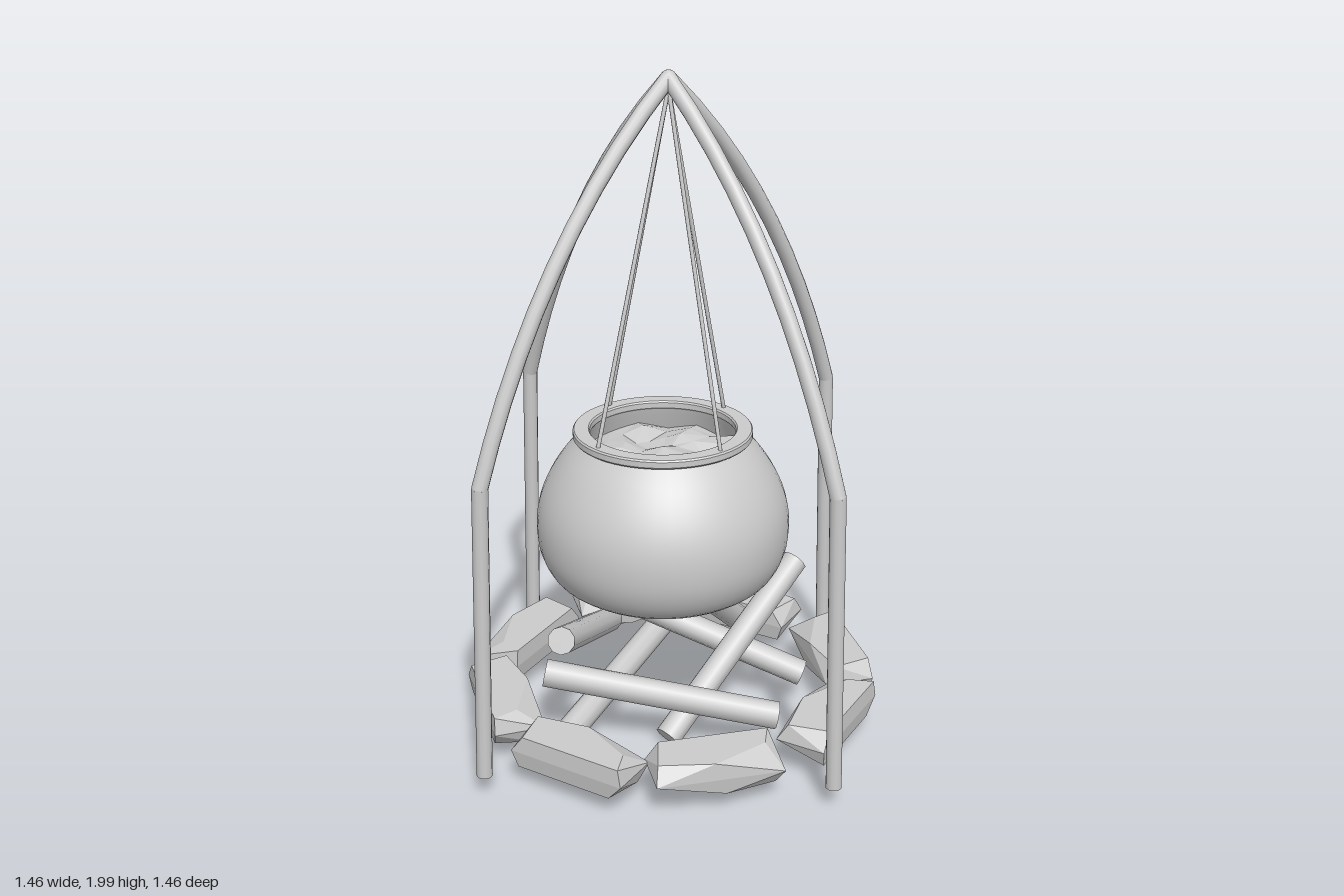
import * as THREE from 'three';
import { ConvexGeometry } from 'three/addons/geometries/ConvexGeometry.js';

const V = (x, y, z) => new THREE.Vector3(x, y, z);
const smooth = new THREE.MeshStandardMaterial({ color: 0xcccccc, side: THREE.DoubleSide });
const faceted = new THREE.MeshStandardMaterial({ color: 0xcccccc, flatShading: true, side: THREE.DoubleSide });

function add(parent, name, geometry, material = smooth) {
  const mesh = new THREE.Mesh(geometry, material);
  mesh.name = name;
  parent.add(mesh);
  return mesh;
}

// Capped cylinder between two points
function rod(parent, name, a, b, radius, sides = 12) {
  const dir = b.clone().sub(a);
  const mesh = add(parent, name, new THREE.CylinderGeometry(radius, radius, dir.length(), sides));
  mesh.position.copy(a).add(b).multiplyScalar(0.5);
  mesh.quaternion.setFromUnitVectors(V(0, 1, 0), dir.normalize());
  return mesh;
}

// Bent pole: curved upper arch, knee and straight leg
function makePole() {
  const pole = new THREE.Group();
  pole.name = 'pole';
  const apex = V(0, 1.977, 0), knee = V(0.677, 0.955, 0);
  const arch = new THREE.QuadraticBezierCurve3(apex, V(0.457, 1.595, 0), knee);
  add(pole, 'poleArch', new THREE.TubeGeometry(arch, 10, 0.023, 12));
  add(pole, 'poleKnee', new THREE.SphereGeometry(0.023, 12, 8)).position.copy(knee);
  rod(pole, 'poleLeg', knee, V(0.705, 0.07, 0), 0.023);
  return pole;
}

// Chunky stone: full outline at mid height, one corner chipped off above and below
function makeStoneGeometry(length, width, height, flip) {
  const top = [[-0.5, -0.5], [0.42, -0.5], [0.5, 0.3], [0.05, 0.5], [-0.42, 0]];
  const points = [];
  for (const [x, z] of top) {
    points.push(V(x * length * 0.94, height / 2, z * width * flip * 0.96));
    points.push(V(-x * length * 0.9, -height / 2, z * width * flip * 0.9));
  }
  for (const x of [-0.5, 0.5]) for (const z of [-0.5, 0.5]) points.push(V(x * length, 0, z * width));
  return new ConvexGeometry(points);
}

export function createModel() {
  const model = new THREE.Group();
  model.name = 'campfireCauldron';

  // Four poles meeting at the apex
  for (let i = 0; i < 4; i++) {
    const pole = makePole();
    pole.rotation.y = i * Math.PI / 2;
    model.add(pole);
  }
  add(model, 'poleApex', new THREE.SphereGeometry(0.023, 12, 8)).position.y = 1.977;

  // Cauldron body: outer wall and inner wall
  const pot = new THREE.Group();
  pot.name = 'cauldron';
  pot.position.z = 0.022;
  model.add(pot);
  const outer = new THREE.SplineCurve([
    [0.285, 0.482], [0.335, 0.52], [0.368, 0.585], [0.378, 0.66],
    [0.37, 0.735], [0.342, 0.81], [0.295, 0.885], [0.24, 0.945],
  ].map(([x, y]) => new THREE.Vector2(x, y))).getPoints(24);
  add(pot, 'cauldronBody', new THREE.LatheGeometry(outer, 48));
  const base = add(pot, 'cauldronBase', new THREE.CircleGeometry(0.285, 48));
  base.rotation.x = Math.PI / 2;
  base.position.y = 0.482;
  const inner = [[0.216, 0.955], [0.225, 0.92], [0.25, 0.85]].map(([x, y]) => new THREE.Vector2(x, y));
  add(pot, 'cauldronInside', new THREE.LatheGeometry(inner, 48));

  // Rim band
  const rim = new THREE.Shape();
  rim.absarc(0, 0, 0.265, 0, Math.PI * 2);
  const hole = new THREE.Path();
  hole.absarc(0, 0, 0.215, 0, Math.PI * 2, true);
  rim.holes.push(hole);
  const rimMesh = add(pot, 'cauldronRim', new THREE.ExtrudeGeometry(rim, {
    depth: 0.017, bevelThickness: 0.005, bevelSize: 0.004, bevelOffset: -0.004, bevelSegments: 1, curveSegments: 32,
  }));
  rimMesh.rotation.x = -Math.PI / 2;
  rimMesh.position.y = 0.944;

  // Lumpy stew surface
  const stew = new THREE.RingGeometry(0.001, 0.245, 16, 4).rotateX(-Math.PI / 2);
  const p = stew.attributes.position;
  for (let i = 0; i < p.count; i++) {
    const x = p.getX(i), z = p.getZ(i);
    p.setY(i, 0.885 + 0.022 * Math.sin(27 * x + 9 * z + 1) * Math.cos(25 * z - 8 * x));
  }
  add(pot, 'stew', stew, faceted);

  // Hanging ropes
  for (let i = 0; i < 4; i++) {
    const a = i * Math.PI / 2;
    rod(model, 'rope', V(0, 1.95, 0), V(0.248 * Math.cos(a), 0.955, 0.022 + 0.248 * Math.sin(a)), 0.006, 8);
  }

  // Ring of stones: x, z and heading of each
  const stones = [
    [-0.185, -0.5, 0.32], [0.235, -0.485, -0.48], [0.494, -0.196, -1.25], [0.459, 0.231, -2.06],
    [0.169, 0.49, -2.84], [-0.22, 0.467, 2.74], [-0.494, 0.173, 1.92], [-0.47, -0.243, 1.11],
  ];
  stones.forEach(([x, z, angle], i) => {
    const stone = add(model, 'stone', makeStoneGeometry(0.375, 0.153, 0.105, i % 3 ? 1 : -1), faceted);
    stone.position.set(x, 0.122, z);
    stone.rotation.y = angle;
  });

  // Heap of firewood logs: two ends each
  const logs = [
    [0.13, 0.435, -0.42, 0.165, 0.04, 0.15],
    [0.03, 0.42, 0.44, -0.37, 0.15, -0.07],
    [-0.26, 0.36, 0.07, 0.25, 0.11, -0.34],
    [0.03, 0.42, -0.08, -0.08, 0.16, -0.38],
    [-0.08, 0.26, 0.42, 0.4, 0.13, -0.08],
    [-0.23, 0.25, -0.32, 0, 0.07, 0.42],
  ];
  for (const [ax, ay, az, bx, by, bz] of logs) {
    rod(model, 'log', V(ax, ay, az), V(bx, by, bz), 0.041, 10);
  }
  return model;
}
